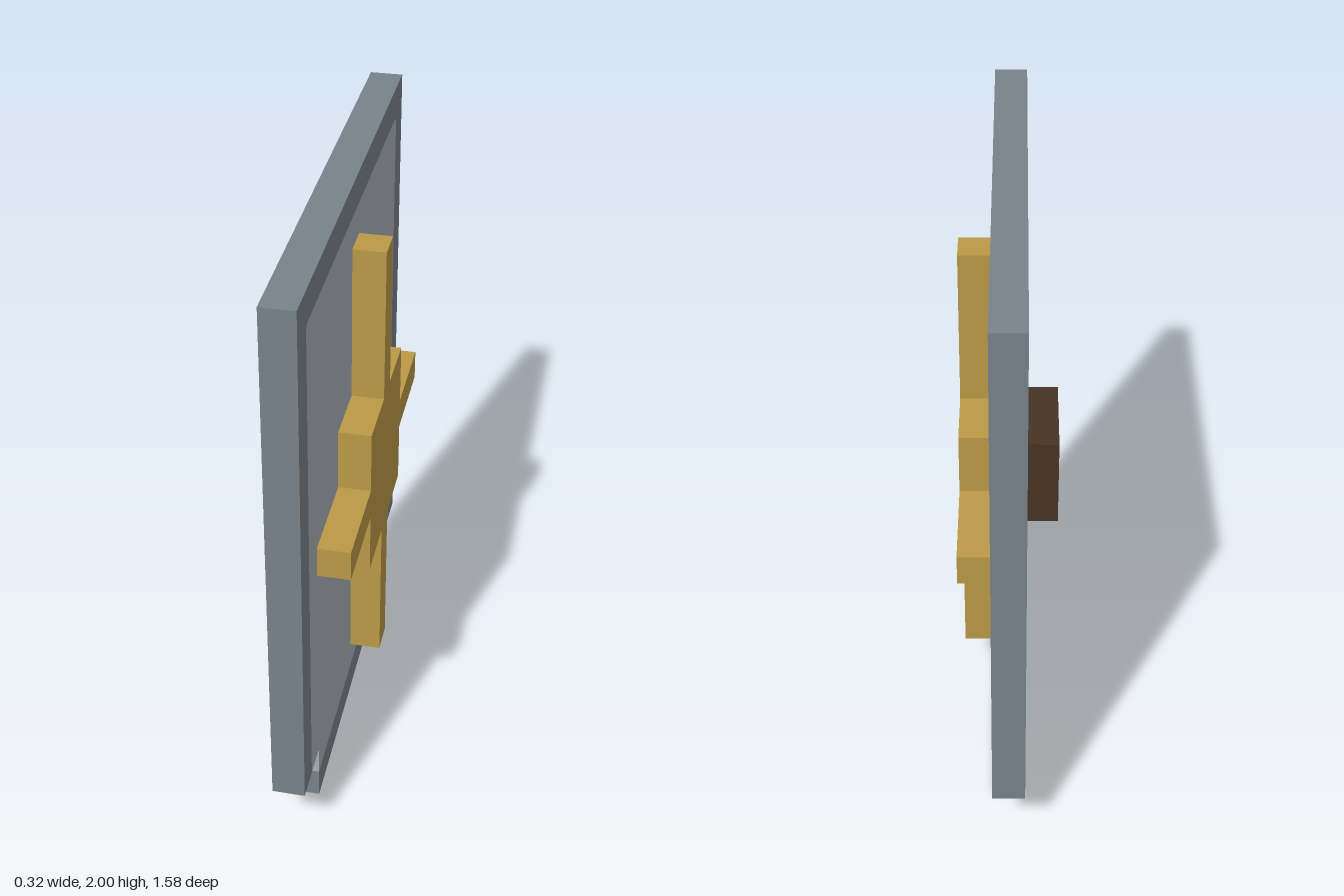
import * as THREE from 'three';

const flat = (name, color) => {
  const m = new THREE.MeshStandardMaterial({ color });
  m.name = name;
  return m;
};

export function createModel() {
  const steel = flat('darkSteel', 0x78838a);
  const panel = flat('paleSteel', 0xa9b0b8);
  const gold = flat('gold', 0xbb9a48);
  const wood = flat('darkWood', 0x463424);

  const T = 0.053; // half thickness of the plate
  const model = new THREE.Group();
  model.name = 'shield';
  // Everything is drawn in the XY plane, then turned so the face looks along +x
  const body = new THREE.Group();
  body.name = 'shieldBody';
  body.rotation.y = Math.PI / 2;
  model.add(body);

  const add = (name, geometry, material, z = 0) => {
    const mesh = new THREE.Mesh(geometry, material);
    mesh.name = name;
    mesh.position.z = z;
    body.add(mesh);
    return mesh;
  };
  const shape = (pts) => new THREE.Shape(pts.map(([x, y]) => new THREE.Vector2(x, y)));
  // Completes the right half of an outline (bottom to top) with its mirror
  const mirrored = (half) => [...half, ...half.map(([x, y]) => [-x, y]).reverse()];

  // Both broad faces: pale field, dark border, dark bottom band
  const W = 0.79, P = 0.685, B = 0.58, S = 0.21, M = 0.105, H = 2, C = 0.014;
  const inner = [[P, S], [P, 1.895 - C], [P - C, 1.895]];
  const field = shape(mirrored([[B, M], [B, S], ...inner]));
  const border = shape([
    [W, S], [W, H], [-W, H], [-W, S],
    ...inner.map(([x, y]) => [-x, y]), ...[...inner].reverse(),
  ]);
  const band = shape(mirrored([[B, 0], [B, M]]));
  for (const [name, outline, material] of [
    ['field', field, panel], ['border', border, steel], ['bottomBand', band, steel],
  ]) {
    add(name + 'Outer', new THREE.ShapeGeometry(outline), material, T);
    add(name + 'Inner', new THREE.ShapeGeometry(outline).rotateY(Math.PI), material, -T);
  }

  // Rim of the plate, with pale stretches where the field reaches the edge
  const rim = mirrored([[B, 0], [B, M], [B, S], [P, S], [W, S], [W, H]]);
  const pos = [];
  const edge = new THREE.BufferGeometry();
  rim.forEach(([ax, ay], i) => {
    const [bx, by] = rim[(i + 1) % rim.length];
    pos.push(ax, ay, -T, bx, by, -T, bx, by, T, ax, ay, -T, bx, by, T, ax, ay, T);
    const pale = [1, 2, 8, 9].includes(i);
    edge.addGroup(i * 6, 6, pale ? 1 : 0);
  });
  edge.setAttribute('position', new THREE.Float32BufferAttribute(pos, 3));
  edge.computeVertexNormals();
  add('rim', edge, [steel, panel]);

  // Raised cross with a square boss
  const a = 0.053, q = 0.263;
  const cross = shape(mirrored([
    [a, S], [a, 0.74], [q, 0.74], [q, 0.95], [B, 0.95],
    [B, 1.055], [q, 1.055], [q, 1.265], [a, 1.265], [a, 1.79],
  ]));
  add('crossEmblem', new THREE.ExtrudeGeometry(cross, { depth: 0.105, bevelEnabled: false }), gold, T);

  // Grip block on the back
  const grip = add('grip', new THREE.BoxGeometry(0.316, 0.315, 0.105), wood, -T - 0.0525);
  grip.position.y = 1.0025;

  return model;
}
